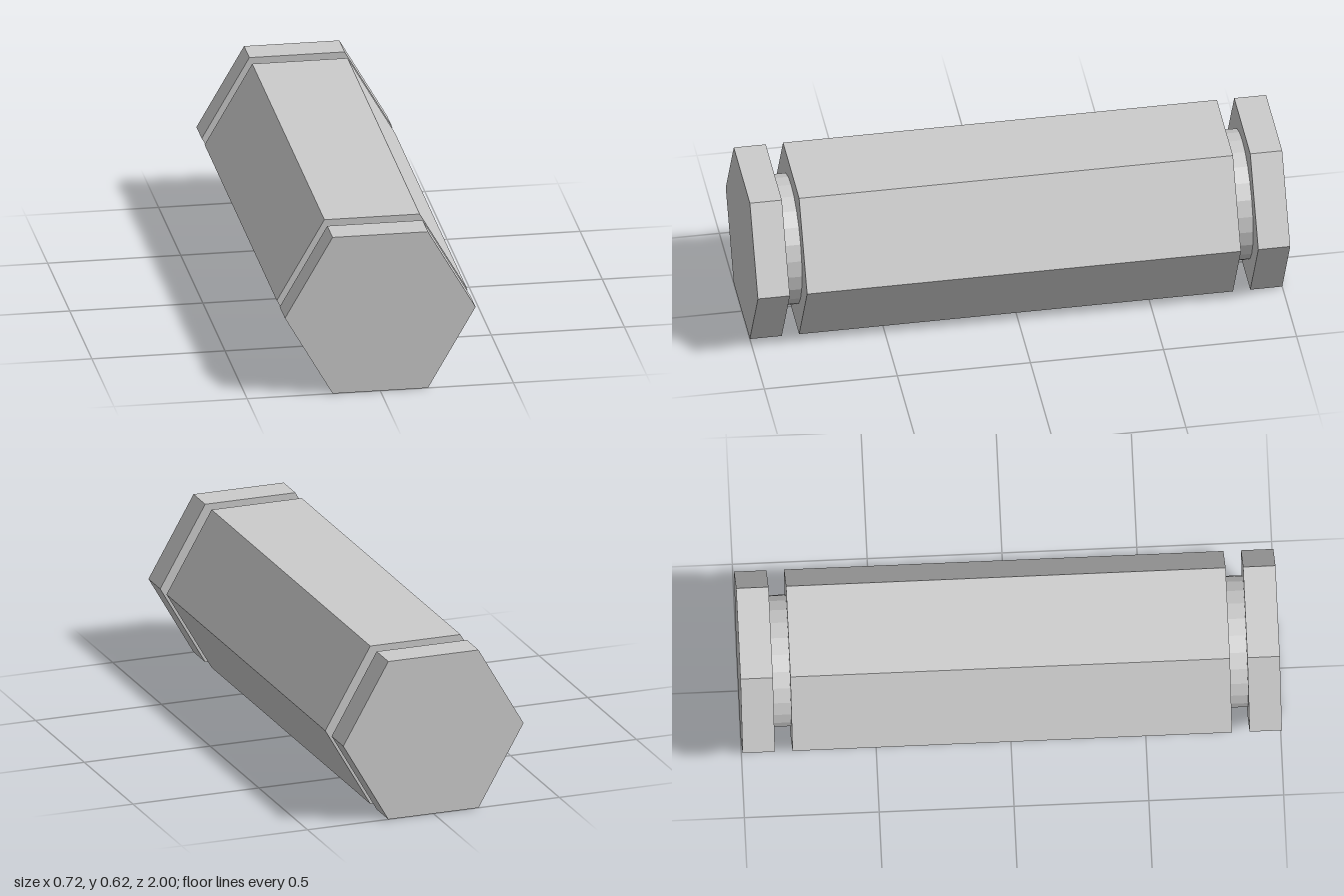
import * as THREE from 'three';

const HEX_RADIUS = 0.358;
const NECK_RADIUS = 0.245;
const AXIS_Y = 0.31;

export function createModel() {
  const group = new THREE.Group();
  group.name = 'hexBar';
  const material = new THREE.MeshStandardMaterial({ color: 0xcccccc, flatShading: true });

  // Faceted section lying along z, between z0 and z1
  function addSection(name, radius, sides, z0, z1, turn = 0) {
    const geometry = new THREE.CylinderGeometry(radius, radius, z1 - z0, sides, 1, false, turn);
    geometry.rotateX(Math.PI / 2);
    const mesh = new THREE.Mesh(geometry, material);
    mesh.name = name;
    mesh.position.set(0, AXIS_Y, (z0 + z1) / 2);
    group.add(mesh);
  }

  // Long hexagonal body, flat sides at top and bottom
  addSection('body', HEX_RADIUS, 6, -0.815, 0.815, Math.PI / 6);

  // Round necks forming the grooves
  addSection('frontNeck', NECK_RADIUS, 24, 0.815, 0.88);
  addSection('backNeck', NECK_RADIUS, 24, -0.88, -0.815);

  // Hexagonal end caps
  addSection('frontCap', HEX_RADIUS, 6, 0.88, 1, Math.PI / 6);
  addSection('backCap', HEX_RADIUS, 6, -1, -0.88, Math.PI / 6);

  return group;
}
